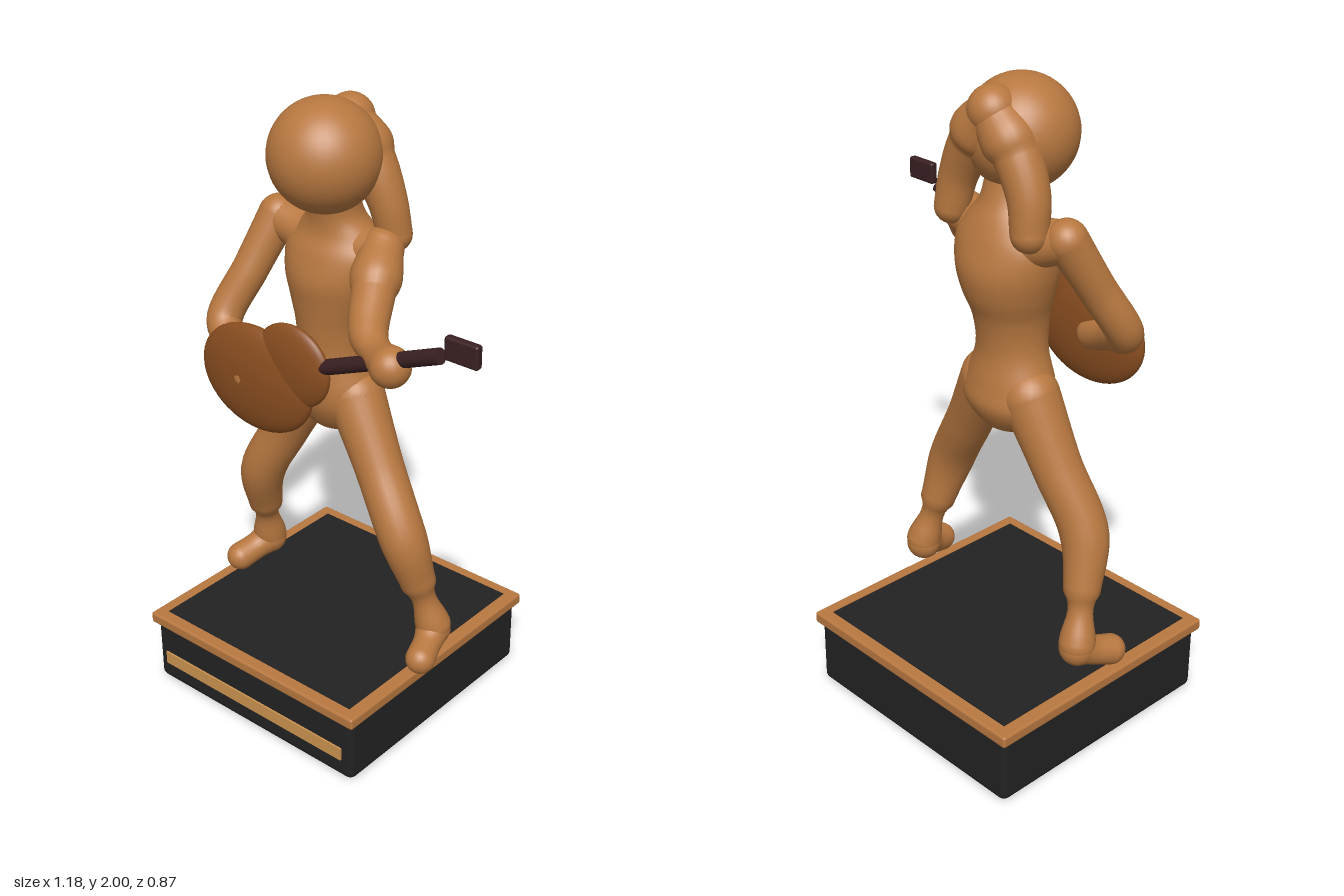
import * as THREE from 'three';
import { mergeVertices } from 'three/addons/utils/BufferGeometryUtils.js';
import { RoundedBoxGeometry } from 'three/addons/geometries/RoundedBoxGeometry.js';

const material = (name, color) => Object.assign(new THREE.MeshStandardMaterial({ color }), { name });
const V = (p) => new THREE.Vector3(...p);

// Welds the seam so normals run smoothly all the way round
function smooth(geo) {
  geo.deleteAttribute('uv');
  geo.deleteAttribute('normal');
  const g = mergeVertices(geo, 1e-5);
  g.computeVertexNormals();
  return g;
}

export function createModel() {
  const model = new THREE.Group();
  const copper = material('copper', 0xb87840);
  const black = material('black', 0x222223);
  const brass = material('brass', 0xcc9450);
  const wood = material('wood', 0x8a4e20);
  const darkWood = material('dark wood', 0x3a2022);

  function add(name, geo, mat, pos = [0, 0, 0], parent = model) {
    const mesh = new THREE.Mesh(geo, mat);
    mesh.name = name;
    mesh.position.set(...pos);
    parent.add(mesh);
    return mesh;
  }

  // Round-ended tube through [x, y, z, radius] knots
  function limb(name, knots, parent) {
    const group = new THREE.Group();
    group.name = name;
    const curve = new THREE.CatmullRomCurve3(knots.map((k) => V(k.slice(0, 3))));
    const radii = new THREE.CatmullRomCurve3(knots.map((k) => V([k[3], 0, 0])));
    const segs = knots.length * 8, sides = 24;
    const geo = new THREE.TubeGeometry(curve, segs, 1, sides);
    const pos = geo.attributes.position, v = new THREE.Vector3();
    for (let i = 0; i < pos.count; i++) {
      const u = Math.floor(i / (sides + 1)) / segs;
      const c = curve.getPointAt(u);
      const r = radii.getPoint(curve.getUtoTmapping(u)).x;
      v.fromBufferAttribute(pos, i).sub(c).multiplyScalar(r).add(c);
      pos.setXYZ(i, v.x, v.y, v.z);
    }
    add(name + 'Tube', smooth(geo), copper, [0, 0, 0], group);
    for (const k of [knots[0], knots[knots.length - 1]])
      add(name + 'End', new THREE.SphereGeometry(k[3], 24, 16), copper, k.slice(0, 3), group);
    parent.add(group);
  }

  // Plinth
  const cx = -0.155;
  add('plinthBody', new RoundedBoxGeometry(0.845, 0.225, 0.845, 4, 0.025), black, [cx, 0.1125, 0]);
  add('plinthRim', new RoundedBoxGeometry(0.87, 0.038, 0.87, 3, 0.008), copper, [cx, 0.235, 0]);
  add('plinthTop', new THREE.BoxGeometry(0.785, 0.004, 0.79), black, [cx, 0.254, 0]);
  add('plinthStripe', new THREE.BoxGeometry(0.765, 0.045, 0.008), brass, [cx, 0.0925, 0.424]);

  // Torso from elliptical sections: [y, centre z, half width, half depth]
  const figure = new THREE.Group();
  figure.name = 'figure';
  model.add(figure);
  const sections = [
    [0.935, 0.0, 0.02, 0.02], [0.96, 0.0, 0.09, 0.07], [1.03, 0.0, 0.155, 0.11],
    [1.1, 0.01, 0.15, 0.112], [1.2, 0.015, 0.115, 0.1], [1.3, 0.012, 0.118, 0.11],
    [1.38, 0.002, 0.143, 0.13], [1.46, 0.0, 0.165, 0.14], [1.54, 0.0, 0.17, 0.12],
    [1.6, 0.0, 0.13, 0.095], [1.66, 0.015, 0.085, 0.08], [1.76, 0.04, 0.08, 0.075],
  ];
  const centres = new THREE.CatmullRomCurve3(sections.map((s) => V([0, s[0], s[1]])), false, 'catmullrom');
  const sizes = new THREE.CatmullRomCurve3(sections.map((s) => V([s[2], 0, s[3]])), false, 'catmullrom');
  const torso = new THREE.CylinderGeometry(1, 1, 1, 36, 55);
  const tp = torso.attributes.position;
  for (let i = 0; i < tp.count; i++) {
    const t = THREE.MathUtils.clamp(tp.getY(i) + 0.5, 0, 1);
    const c = centres.getPoint(t), s = sizes.getPoint(t);
    const shift = -0.15 + 0.025 * t * t;
    tp.setXYZ(i, shift + tp.getX(i) * s.x, c.y, c.z + tp.getZ(i) * s.z);
  }
  add('torso', smooth(torso), copper, [0, 0, 0], figure);
  limb('shoulders', [[-0.355, 1.58, 0.015, 0.06], [-0.25, 1.555, 0, 0.075], [-0.15, 1.55, 0, 0.08],
    [-0.05, 1.55, 0, 0.075], [0.03, 1.565, 0, 0.06]], figure);

  // Head and hair
  add('head', new THREE.SphereGeometry(0.167, 40, 28), copper, [-0.125, 1.833, 0.063], figure);
  add('hairCrown', new THREE.SphereGeometry(0.073, 28, 20), copper, [-0.125, 1.915, -0.048], figure);
  limb('leftHair', [[-0.125, 1.91, -0.045, 0.07], [-0.04, 1.81, -0.04, 0.07],
    [0.015, 1.7, -0.045, 0.058], [0.035, 1.6, -0.055, 0.052]], figure);
  limb('rightHair', [[-0.125, 1.91, -0.045, 0.07], [-0.21, 1.81, -0.04, 0.07],
    [-0.265, 1.7, -0.045, 0.062], [-0.28, 1.6, -0.055, 0.055]], figure);

  // Arms
  limb('rightArm', [[-0.355, 1.585, 0.015, 0.062], [-0.395, 1.43, 0.1, 0.056],
    [-0.43, 1.275, 0.19, 0.055], [-0.34, 1.225, 0.235, 0.046], [-0.24, 1.19, 0.275, 0.058]], figure);
  limb('leftArm', [[0.03, 1.57, -0.005, 0.064], [0.085, 1.485, 0.1, 0.064],
    [0.155, 1.41, 0.205, 0.056], [0.22, 1.39, 0.245, 0.046], [0.295, 1.385, 0.28, 0.06]], figure);

  // Legs and feet
  limb('rightLeg', [[-0.24, 1.07, 0, 0.09], [-0.345, 0.87, 0.012, 0.076], [-0.445, 0.68, 0.03, 0.074],
    [-0.485, 0.51, -0.015, 0.056], [-0.51, 0.36, -0.055, 0.056]], figure);
  limb('rightFoot', [[-0.51, 0.345, -0.055, 0.056], [-0.53, 0.32, 0, 0.045], [-0.545, 0.303, 0.055, 0.047]], figure);
  limb('leftLeg', [[-0.06, 1.07, 0.01, 0.09], [0.06, 0.87, 0.04, 0.076], [0.175, 0.68, 0.068, 0.074],
    [0.215, 0.51, 0.035, 0.056], [0.25, 0.36, 0.005, 0.056]], figure);
  limb('leftFoot', [[0.25, 0.345, 0.005, 0.056], [0.268, 0.32, 0.06, 0.045], [0.285, 0.303, 0.112, 0.047]], figure);

  // Guitar
  const guitar = new THREE.Group();
  guitar.name = 'guitar';
  model.add(guitar);
  const ball = new THREE.SphereGeometry(1, 40, 28);
  add('lowerBout', ball, wood, [-0.208, 1.188, 0.283], guitar).scale.set(0.217, 0.168, 0.049);
  add('upperBout', ball, wood, [-0.063, 1.275, 0.283], guitar).scale.set(0.14, 0.128, 0.035);
  const angle = 0.385;
  const neck = add('neck', new THREE.CylinderGeometry(0.023, 0.023, 0.45, 20), darkWood, [0.255, 1.386, 0.278], guitar);
  neck.rotation.z = angle - Math.PI / 2;
  add('headstock', new RoundedBoxGeometry(0.11, 0.07, 0.026, 3, 0.008), darkWood, [0.538, 1.505, 0.279], guitar);

  return model;
}
